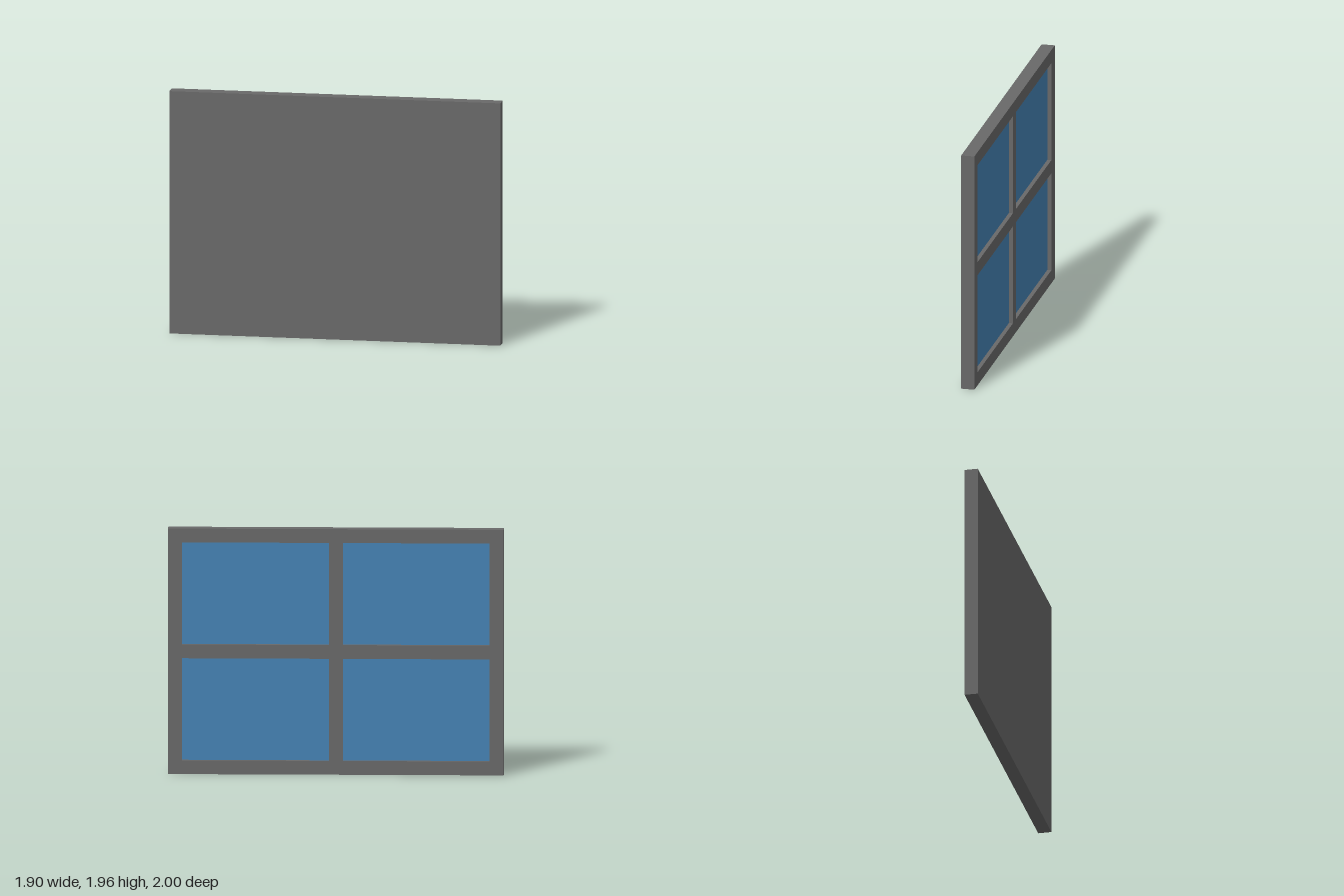
import * as THREE from 'three';

const LENGTH = 2.653, HEIGHT = 1.96, THICK = 0.107;
const BAR = 0.11;      // width of border and crossbars
const RECESS = 0.035;  // depth of the panes behind the frame face

export function createModel() {
  const frameGrey = new THREE.MeshStandardMaterial({ color: 0x696969 });
  frameGrey.name = 'frameGrey';
  const paneBlue = new THREE.MeshStandardMaterial({ color: 0x4682b4 });
  paneBlue.name = 'paneBlue';

  const panel = new THREE.Group();
  panel.name = 'panel';
  const add = (name, geometry, material, x, y, z) => {
    const mesh = new THREE.Mesh(geometry, material);
    mesh.name = name;
    mesh.position.set(x, y, z);
    panel.add(mesh);
  };

  const paneW = (LENGTH - 3 * BAR) / 2, paneH = (HEIGHT - 3 * BAR) / 2;
  const floorZ = THICK / 2 - RECESS;

  // Solid backing slab
  add('backing', new THREE.BoxGeometry(LENGTH, HEIGHT, THICK - RECESS), frameGrey, 0, 0, -RECESS / 2);

  // Frame with four openings, and a pane at the bottom of each
  const rect = (path, cx, cy, w, h) => {
    path.moveTo(cx - w / 2, cy - h / 2);
    path.lineTo(cx + w / 2, cy - h / 2);
    path.lineTo(cx + w / 2, cy + h / 2);
    path.lineTo(cx - w / 2, cy + h / 2);
    path.closePath();
    return path;
  };
  const outline = rect(new THREE.Shape(), 0, 0, LENGTH, HEIGHT);
  const paneGeometry = new THREE.PlaneGeometry(paneW, paneH);
  for (const sx of [-1, 1]) {
    for (const sy of [-1, 1]) {
      const cx = sx * (paneW + BAR) / 2, cy = sy * (paneH + BAR) / 2;
      outline.holes.push(rect(new THREE.Path(), cx, cy, paneW, paneH));
      add('pane', paneGeometry, paneBlue, cx, cy, floorZ + 0.002);
    }
  }
  add('frame', new THREE.ExtrudeGeometry(outline, { depth: RECESS, bevelEnabled: false }), frameGrey, 0, 0, floorZ);

  // Stand the panel on the ground, glazed side toward +x and -z
  panel.position.y = HEIGHT / 2;
  panel.rotation.y = Math.atan2(0.727, -0.686);

  const model = new THREE.Group();
  model.name = 'windowPanel';
  model.add(panel);
  return model;
}
